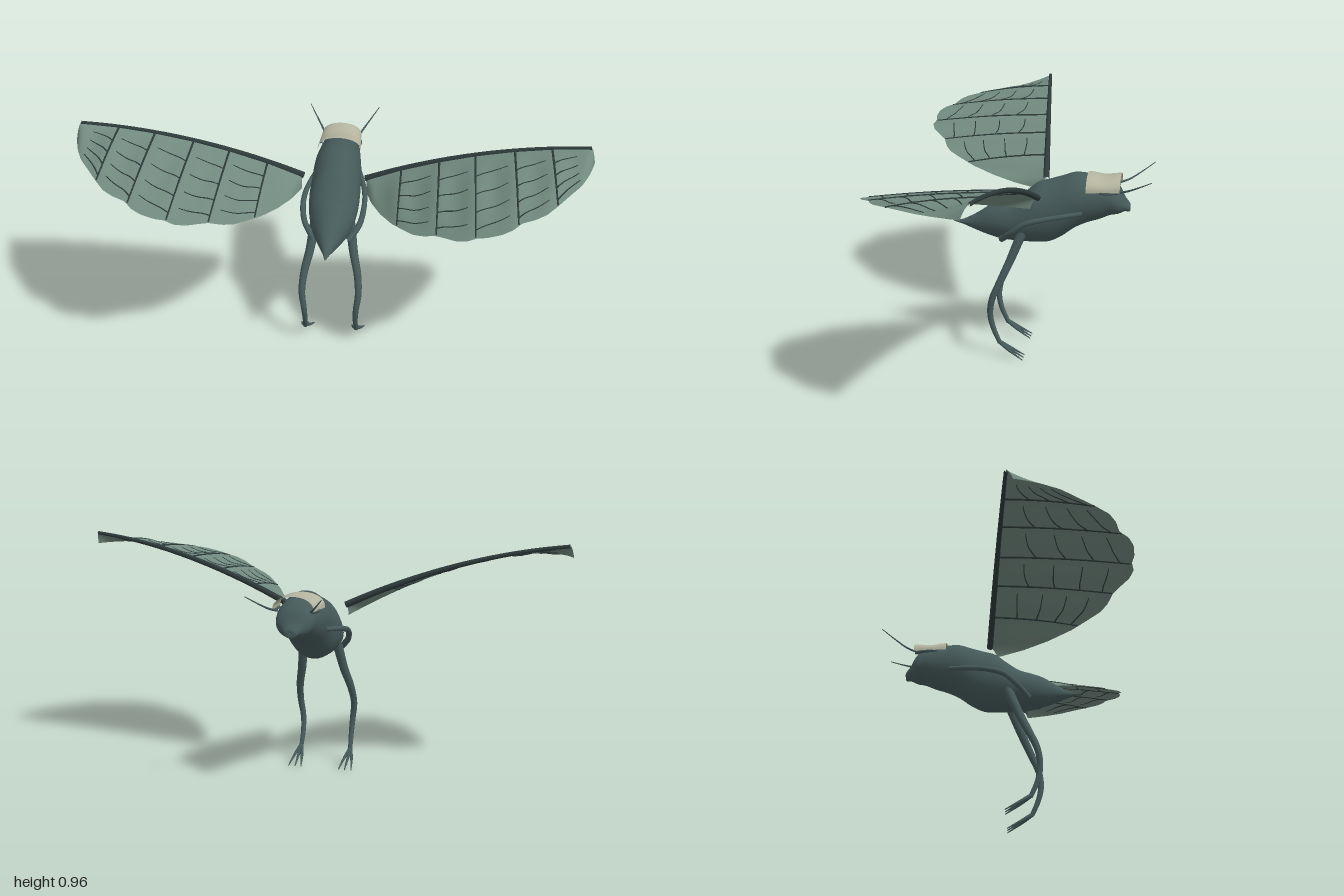
import * as THREE from 'three';

const mat = (name, color, side = THREE.FrontSide) => {
  const m = new THREE.MeshStandardMaterial({ color, side });
  m.name = name;
  return m;
};

// Surface from a rule f(u, v) -> [x, y, z]; wrap closes it in v
function surface(f, nu, nv, wrap = false) {
  const pos = [], idx = [], cols = wrap ? nv : nv + 1;
  for (let i = 0; i <= nu; i++)
    for (let j = 0; j < cols; j++) pos.push(...f(i / nu, j / nv));
  for (let i = 0; i < nu; i++)
    for (let j = 0; j < nv; j++) {
      const k = (j + 1) % cols;
      const a = i * cols + j, b = i * cols + k, c = a + cols, d = b + cols;
      idx.push(a, b, d, a, d, c);
    }
  const g = new THREE.BufferGeometry();
  g.setAttribute('position', new THREE.Float32BufferAttribute(pos, 3));
  g.setIndex(idx);
  g.computeVertexNormals();
  return g;
}

// Tube whose radius runs from r0 to r1
function taper(points, r0, r1, seg = 24, sides = 8) {
  const curve = new THREE.CatmullRomCurve3(points.map(p => new THREE.Vector3(...p)));
  const g = new THREE.TubeGeometry(curve, seg, 1, sides);
  const p = g.attributes.position, v = new THREE.Vector3();
  for (let i = 0; i < p.count; i++) {
    const t = Math.floor(i / (sides + 1)) / seg, c = curve.getPointAt(t);
    v.fromBufferAttribute(p, i).sub(c).multiplyScalar(r0 + (r1 - r0) * t).add(c);
    p.setXYZ(i, v.x, v.y, v.z);
  }
  return g;
}

// Scalloped trailing edge: x, z
const EDGE = [[.13, -.035], [.16, .07], [.2, .17], [.25, .265], [.3, .335], [.335, .38], [.37, .405],
  [.42, .425], [.45, .45], [.49, .485], [.53, .5], [.565, .492], [.6, .5], [.65, .495], [.69, .475],
  [.72, .44], [.77, .425], [.81, .4], [.85, .35], [.9, .28], [.94, .225], [.97, .16], [.99, .1], [1, .06]];
function edgeZ(x) {
  let i = 1;
  while (i < EDGE.length - 1 && EDGE[i][0] < x) i++;
  const [x0, z0] = EDGE[i - 1], [x1, z1] = EDGE[i];
  return z0 + (z1 - z0) * (x - x0) / (x1 - x0);
}

// Point on the left wing: x along the span, v from leading to trailing edge
const VEINS = [.27, .42, .56, .71, .85];
function wingPoint(x, v) {
  const t = (1 - x) / .87, lead = -.06 + .1 * (1 - t) - .005;
  const pleat = .007 * Math.sin(Math.PI * v) * Math.cos((x - .27) / .145 * Math.PI * 2);
  const y = .953 - .087 * t - .158 * t * t - .048 * v + pleat;
  return [x - .012 * (1 - t) * (1 - v), y, lead + (edgeZ(x) - lead) * v];
}

export function createModel() {
  const root = new THREE.Group();
  root.name = 'flyingCreature';
  const bodyMat = mat('slate body', 0x465a5a);
  const wingMat = mat('sage wing', 0x71897f, THREE.DoubleSide);
  const veinMat = mat('dark vein', 0x2d3b3a);
  const capMat = mat('cream crown', 0xb4b4a0, THREE.DoubleSide);
  const add = (parent, name, geo, m) => {
    const mesh = new THREE.Mesh(geo, m);
    mesh.name = name;
    parent.add(mesh);
    return mesh;
  };

  // Body: z, top, bottom, half width
  const rings = [[-.421, .646, .644, .002], [-.42, .66, .628, .022], [-.4, .685, .628, .04], [-.375, .73, .618, .068],
    [-.34, .757, .61, .078], [-.3, .768, .592, .084], [-.25, .776, .575, .091], [-.2, .778, .55, .097],
    [-.15, .762, .513, .1], [-.1, .746, .487, .102], [-.05, .73, .482, .102], [0, .69, .482, .098],
    [.05, .655, .484, .088], [.1, .64, .488, .075], [.15, .622, .5, .057], [.2, .59, .516, .036],
    [.25, .563, .535, .016], [.28, .554, .544, .007], [.3, .55, .549, .001]];
  const prof = new THREE.CatmullRomCurve3(rings.map(r => new THREE.Vector3(r[0], r[1], r[2])), false, 'catmullrom');
  const wide = new THREE.CatmullRomCurve3(rings.map(r => new THREE.Vector3(r[3], 0, 0)), false, 'catmullrom');
  add(root, 'body', surface((u, v) => {
    const p = prof.getPoint(u), w = Math.max(wide.getPoint(u).x, 0), a = v * Math.PI * 2;
    return [w * Math.cos(a), (p.y + p.z) / 2 + (p.y - p.z) / 2 * Math.sin(a), p.x];
  }, 90, 36, true), bodyMat);

  // Crown plate over the head
  add(root, 'crown', surface((u, v) => {
    const a = v * Math.PI, s = Math.pow(Math.sin(a), .8) || 0;
    const w = .09 - .009 * u, flare = .004 * Math.cos(u * Math.PI * 2);
    return [w * Math.cos(a), .722 + .003 * u + (.054 + flare - .004 * u) * s, -.25 - .133 * u];
  }, 10, 28), capMat);

  for (const side of [1, -1]) {
    const half = new THREE.Group();
    half.name = side > 0 ? 'leftSide' : 'rightSide';
    root.add(half);
    const m = p => [p[0] * side, p[1], p[2]];
    const tube = (parent, name, pts, r0, r1, material, seg, sides) =>
      add(parent, name, taper(pts.map(m), r0, r1, seg, sides), material);

    // Wing membrane, facing up on both sides
    const wing = new THREE.Group();
    wing.name = 'wing';
    half.add(wing);
    add(wing, 'membrane', surface((u, v) => {
      const s = side > 0 ? u : 1 - u;
      return m(wingPoint(.13 + .87 * s, v));
    }, 110, 16), wingMat);

    // Leading spar
    const spar = [];
    for (let i = 0; i <= 8; i++) spar.push(wingPoint(.125 + .872 * i / 8, 0));
    tube(wing, 'leadingSpar', spar, .013, .007, veinMat, 40);

    // Long veins
    for (const x of VEINS) {
      const pts = [];
      for (let i = 0; i <= 8; i++) pts.push(wingPoint(x, i / 8 * .99));
      tube(wing, 'longVein', pts, .0045, .003, veinMat, 24, 6);
    }
    // Short curved cross veins
    const xs = [...VEINS, .96];
    for (let c = 0; c < xs.length - 1; c++)
      for (const v of [.2, .42, .63, .82]) {
        const pts = [];
        for (let i = 0; i <= 4; i++) {
          const t = i / 4;
          pts.push(wingPoint(xs[c] + (xs[c + 1] - xs[c]) * t * .8, v + .09 * (1 - t) * (1 - t)));
        }
        tube(wing, 'crossVein', pts, .0032, .002, veinMat, 8, 5);
      }

    // Folded limb along the flank
    tube(half, 'foldedLimb', [[.088, .635, -.235], [.108, .625, -.16], [.122, .612, -.08], [.123, .59, -.01],
      [.11, .55, .04], [.07, .505, .09]], .009, .013, bodyMat, 30, 10);

    // Leg and three toes
    tube(half, 'leg', [[.068, .55, .0], [.077, .5, .02], [.09, .42, .052], [.11, .335, .09], [.116, .26, .122],
      [.108, .19, .132], [.105, .13, .121], [.107, .062, .093]], .021, .009, bodyMat, 36, 10);
    for (const dx of [-.026, 0, .028])
      tube(half, 'toe', [[.107, .068, .095], [.107 + dx * .55, .04, .055], [.107 + dx, .002, -.006]],
        .009, .002, bodyMat, 10, 7);

    // Antenna and its base
    tube(half, 'antenna', [[.066, .722, -.365], [.085, .735, -.41], [.115, .762, -.46], [.147, .793, -.51]],
      .005, .0015, bodyMat, 16, 6);
    tube(half, 'browRidge', [[.08, .724, -.29], [.083, .72, -.33], [.066, .722, -.378]], .005, .007, bodyMat, 12, 7);
  }
  return root;
}
